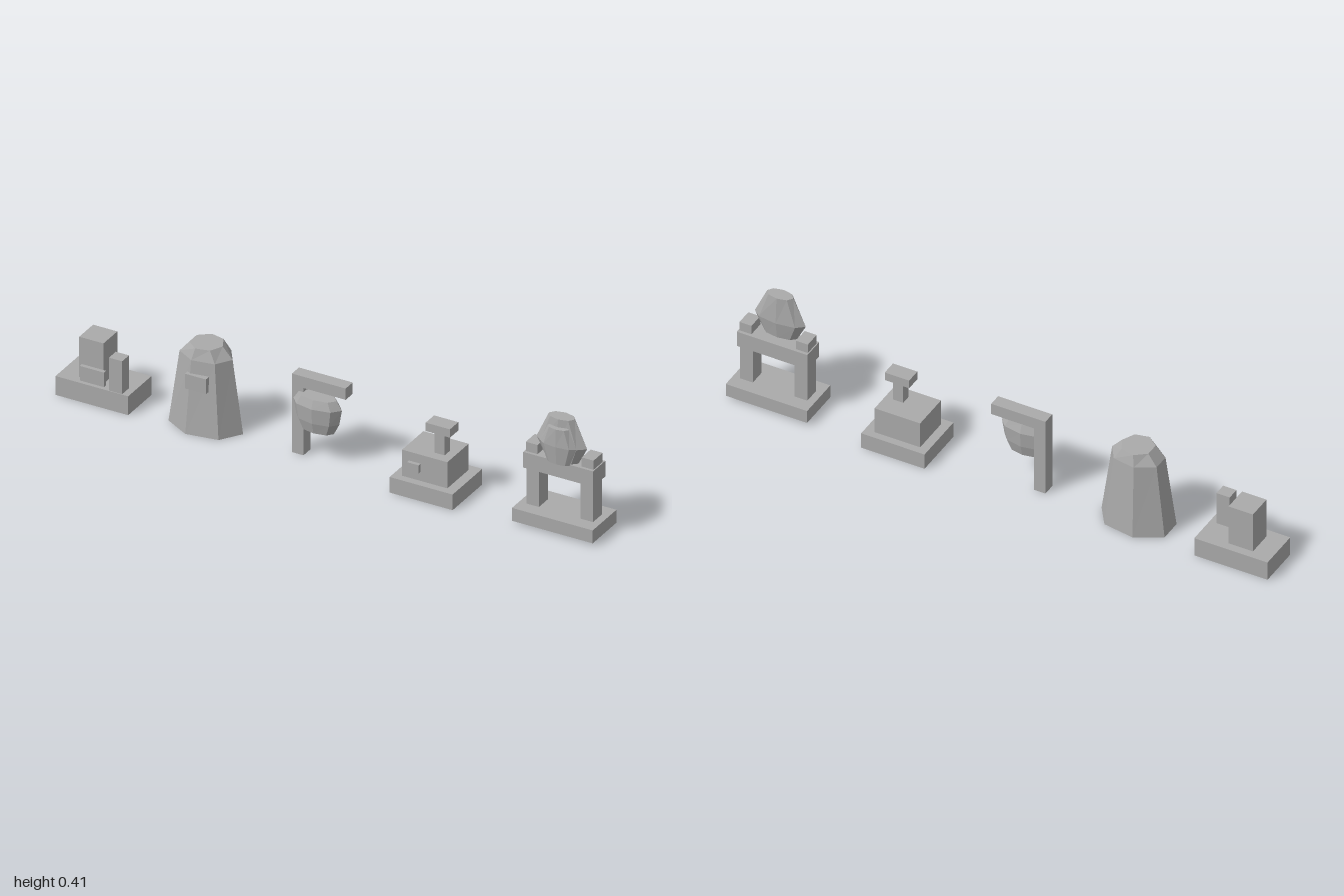
import * as THREE from 'three';

const stone = new THREE.MeshStandardMaterial({ color: 0xaaaaaa });
stone.name = 'grey stone';
stone.flatShading = true;

// Box given by its minimum and maximum on each axis
function block(parent, name, [x0, x1], [y0, y1], [z0, z1]) {
  const mesh = new THREE.Mesh(new THREE.BoxGeometry(x1 - x0, y1 - y0, z1 - z0), stone);
  mesh.position.set((x0 + x1) / 2, (y0 + y1) / 2, (z0 + z1) / 2);
  mesh.name = name;
  parent.add(mesh);
}

// Faceted solid through elliptical rings [y, radiusX, radiusZ], lowest first
function faceted(parent, name, sides, x, z, rings) {
  const pos = [], index = [];
  for (const [y, rx, rz] of rings) {
    for (let i = 0; i < sides; i++) {
      const a = (i / sides) * Math.PI * 2;
      pos.push(Math.cos(a) * rx, y, Math.sin(a) * rz);
    }
  }
  for (let r = 0; r < rings.length - 1; r++) {
    for (let i = 0; i < sides; i++) {
      const a = r * sides + i, b = r * sides + (i + 1) % sides;
      index.push(a, a + sides, b, b, a + sides, b + sides);
    }
  }
  const top = (rings.length - 1) * sides;
  for (let i = 1; i < sides - 1; i++) {
    index.push(0, i, i + 1, top, top + i + 1, top + i);
  }
  const geo = new THREE.BufferGeometry();
  geo.setAttribute('position', new THREE.Float32BufferAttribute(pos, 3));
  geo.setIndex(index);
  const flat = geo.toNonIndexed();
  flat.computeVertexNormals();
  const mesh = new THREE.Mesh(flat, stone);
  mesh.position.set(x, 0, z);
  mesh.name = name;
  parent.add(mesh);
}

export function createModel() {
  const model = new THREE.Group();
  model.name = 'stoneProps';
  const prop = (name) => {
    const g = new THREE.Group();
    g.name = name;
    model.add(g);
    return g;
  };

  // Plinth with two pillars and a plaque
  const pillars = prop('pillarPlinth');
  block(pillars, 'base', [-1, -0.73], [0, 0.07], [-0.08, 0.073]);
  block(pillars, 'tallPillar', [-0.93, -0.84], [0.07, 0.22], [-0.05, 0.041]);
  block(pillars, 'shortPillar', [-0.803, -0.754], [0.07, 0.192], [0.025, 0.07]);
  block(pillars, 'plaque', [-0.9, -0.81], [0.09, 0.144], [0.076, 0.09]);

  // Seven-sided tapering boulder
  const boulder = prop('boulder');
  faceted(boulder, 'boulderBody', 7, -0.479, -0.002,
    [[0, 0.134, 0.093], [0.265, 0.095, 0.069], [0.305, 0.058, 0.057]]);
  block(boulder, 'boulderPlaque', [-0.515, -0.437], [0.163, 0.218], [0.055, 0.08]);

  // Bracket with a hanging faceted pot
  const bracket = prop('bracket');
  block(bracket, 'post', [-0.15, -0.107], [0, 0.25], [-0.024, 0.022]);
  block(bracket, 'arm', [-0.15, 0.05], [0.25, 0.292], [-0.024, 0.022]);
  faceted(bracket, 'hangingPot', 8, -0.054, 0.022,
    [[0.11, 0.06, 0.028], [0.15, 0.08, 0.038], [0.205, 0.09, 0.042], [0.235, 0.07, 0.032]]);

  // Stepped pedestal with a lever
  const pedestal = prop('pedestal');
  block(pedestal, 'base', [0.256, 0.49], [0, 0.058], [-0.097, 0.097]);
  block(pedestal, 'housing', [0.287, 0.455], [0.058, 0.155], [-0.07, 0.07]);
  block(pedestal, 'leverPost', [0.388, 0.425], [0.155, 0.232], [0, 0.035]);
  block(pedestal, 'leverCap', [0.36, 0.45], [0.232, 0.263], [-0.011, 0.044]);
  block(pedestal, 'knob', [0.312, 0.356], [0.092, 0.122], [0.07, 0.083]);

  // Gate carrying a faceted crystal
  const gate = prop('gate');
  block(gate, 'base', [0.7, 1], [0.01, 0.058], [-0.078, 0.078]);
  block(gate, 'lintel', [0.72, 0.98], [0.195, 0.253], [-0.04, 0.04]);
  for (const s of [-1, 1]) {
    const span = (a, b) => [0.85 + s * a, 0.85 + s * b].sort((p, q) => p - q);
    block(gate, 'leg', span(0.077, 0.124), [0, 0.195], [-0.029, 0.03]);
    block(gate, 'horn', span(0.082, 0.126), [0.253, 0.287], [-0.029, 0.03]);
  }
  faceted(gate, 'crystal', 8, 0.852, 0.019,
    [[0.25, 0.06, 0.022], [0.315, 0.094, 0.032], [0.413, 0.048, 0.026]]);
  faceted(gate, 'frontCrystal', 8, 0.854, 0.046,
    [[0.253, 0.042, 0.013], [0.32, 0.067, 0.02], [0.385, 0.039, 0.018]]);

  return model;
}
